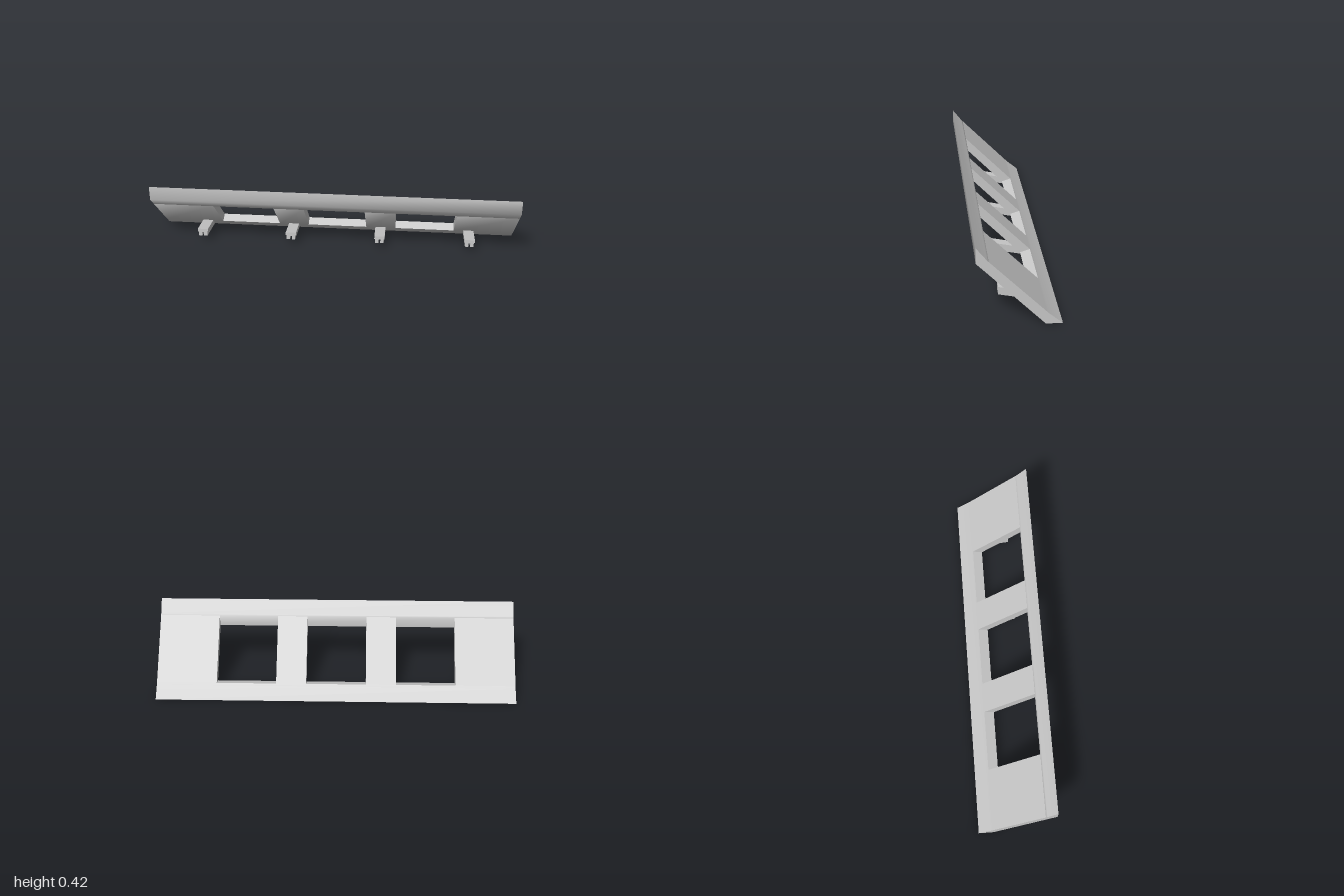
import * as THREE from 'three';
import { toCreasedNormals } from 'three/addons/utils/BufferGeometryUtils.js';

const material = new THREE.MeshStandardMaterial({ color: 0xcccccc, side: THREE.DoubleSide });

const shapeFrom = (points) => new THREE.Shape(points.map(([x, y]) => new THREE.Vector2(x, y)));

function addMesh(parent, name, geometry) {
  const mesh = new THREE.Mesh(toCreasedNormals(geometry, 0.9), material);
  mesh.name = name;
  parent.add(mesh);
  return mesh;
}

// Side profile given as (z, y), extruded along x from x0 to x1
function sideExtrusion(points, x0, x1) {
  const geometry = new THREE.ExtrudeGeometry(shapeFrom(points), { depth: x1 - x0, bevelEnabled: false });
  geometry.rotateY(-Math.PI / 2);
  geometry.translate(x1, 0, 0);
  return geometry;
}

// Inverted channel with a wide cap, rising towards the front
function legGeometry() {
  const half = [[0.005, 0.022], [0.005, 0], [0.024, 0], [0.024, 0.026], [0.029, 0.026], [0.029, 0.044]];
  const mirrored = half.map(([x, y]) => [-x, y]).reverse();
  const zBack = -0.125, zFront = 0.083, rise = 0.043;
  const geometry = new THREE.ExtrudeGeometry(shapeFrom([...half, ...mirrored]), {
    depth: zFront - zBack, bevelEnabled: false,
  });
  const pos = geometry.attributes.position;
  for (let i = 0; i < pos.count; i++) {
    pos.setY(i, pos.getY(i) + (rise * pos.getZ(i)) / (zFront - zBack));
  }
  geometry.translate(0, 0, zBack);
  return geometry;
}

export function createModel() {
  const model = new THREE.Group();
  model.name = 'slantedFrame';

  // Corners of the window sills, shared by rails and posts (z, y)
  const headOuter = [0.147, 0.342], headInner = [0.15, 0.278];
  const sillInner = [-0.077, 0.048], sillOuter = [-0.13, 0.065];

  // Full-width rails above and below the windows
  addMesh(model, 'upperRail', sideExtrusion(
    [[0.208, 0.417], [0.155, 0.35], headOuter, headInner, [0.208, 0.336]], -1, 1));
  addMesh(model, 'lowerRail', sideExtrusion(
    [[-0.125, 0], sillInner, sillOuter, [-0.14, 0.055], [-0.207, 0]], -1, 1));

  // End panels and posts between the three windows
  const post = [headOuter, sillOuter, sillInner, headInner];
  for (const [name, x0, x1] of [
    ['rightEndPanel', -1, -0.667], ['rightPost', -0.335, -0.168],
    ['leftPost', 0.165, 0.333], ['leftEndPanel', 0.665, 1],
  ]) {
    addMesh(model, name, sideExtrusion(post, x0, x1));
  }

  // Support legs under the panels and posts
  const leg = legGeometry();
  for (const x of [-0.753, -0.252, 0.247, 0.748]) {
    addMesh(model, 'supportLeg', leg).position.x = x;
  }
  return model;
}
